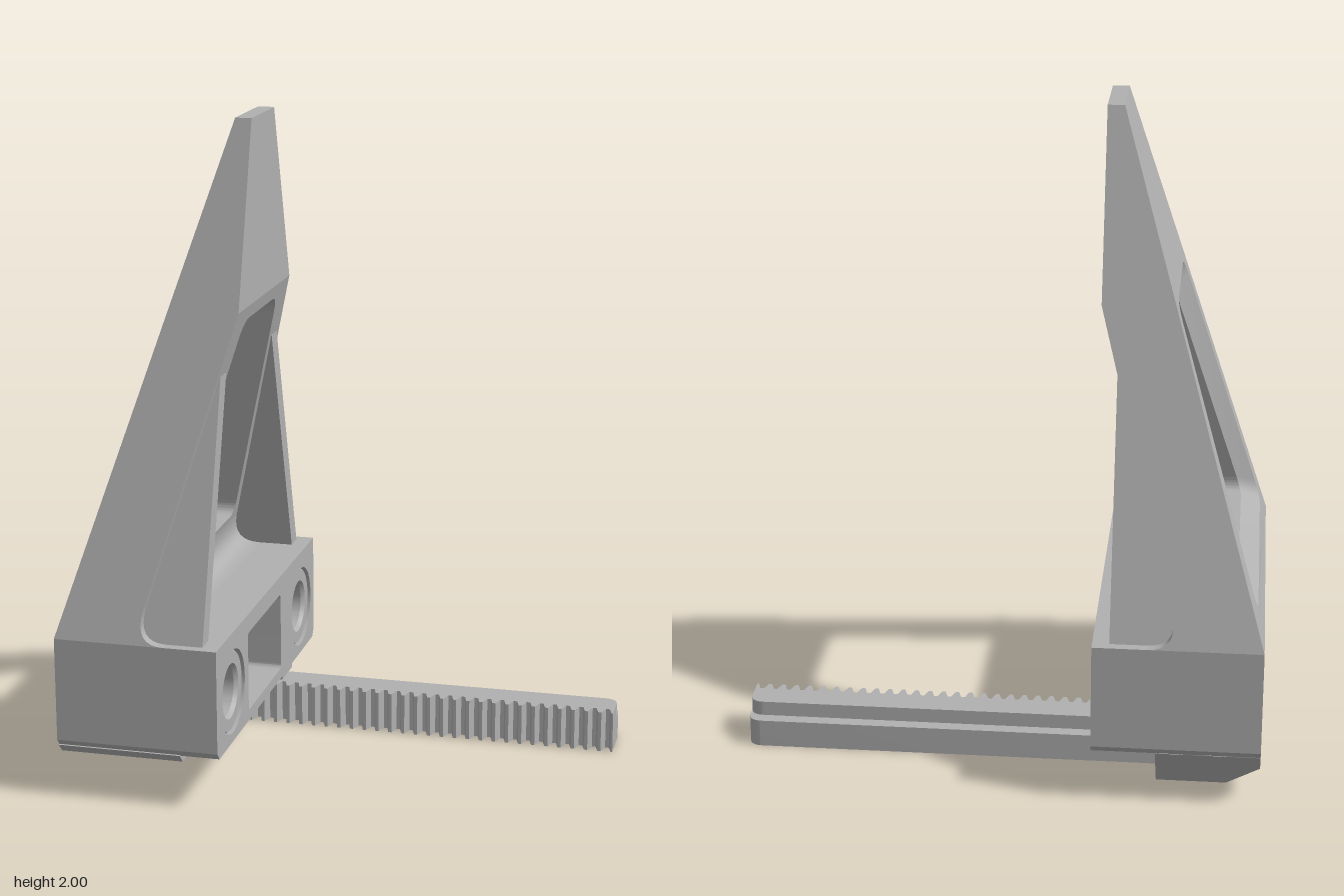
import * as THREE from 'three';
import { toCreasedNormals } from 'three/addons/utils/BufferGeometryUtils.js';

const V = (x, y) => new THREE.Vector2(x, y);
const halfWidth = y => 0.57 - Math.max(0, y - 0.5) * 0.2967;   // tower taper
const rearX = y => -0.79 + Math.max(0, y - 0.51) * 0.302;      // sloping rear face
const frontX = y => -0.52 + (y - 0.6) * 0.2706;                // sloping front face

function extrude(shape, depth) {
  return new THREE.ExtrudeGeometry(shape, { depth, bevelEnabled: false, curveSegments: 24 });
}

// Moves every vertex by a rule and renews the normals
function warp(geo, rule) {
  const p = geo.attributes.position, v = new THREE.Vector3();
  for (let i = 0; i < p.count; i++) {
    rule(v.fromBufferAttribute(p, i));
    p.setXYZ(i, v.x, v.y, v.z);
  }
  return toCreasedNormals(geo, 0.5);
}

// Polygon with rounded corners
function rounded(path, pts, r) {
  pts.forEach((p, i) => {
    const a = pts[(i + pts.length - 1) % pts.length], b = pts[(i + 1) % pts.length];
    const s = a.clone().sub(p).setLength(r).add(p), e = b.clone().sub(p).setLength(r).add(p);
    if (i === 0) path.moveTo(s.x, s.y); else path.lineTo(s.x, s.y);
    path.quadraticCurveTo(p.x, p.y, e.x, e.y);
  });
  path.closePath();
  return path;
}

// Side profile (x, y) spanning z0(y) to z1(y)
function slab(pts, z0, z1) {
  return warp(extrude(new THREE.Shape(pts), 1), v => { v.z = v.z < 0.5 ? z0(v.y) : z1(v.y); });
}

// Cross-section (-z, y) carried along x
function alongX(shape, x0, x1) {
  return toCreasedNormals(extrude(shape, x1 - x0).rotateY(Math.PI / 2).translate(x0, 0, 0), 0.5);
}

// Tapered frame around the tower window, between two sloping faces
function frame(y0, y1, xa, xb, flare) {
  const s = new THREE.Shape([V(-halfWidth(y0), y0), V(halfWidth(y0), y0), V(halfWidth(y1), y1), V(-halfWidth(y1), y1)]);
  s.holes.push(rounded(new THREE.Path(), [V(-0.4, 0.62), V(0.4, 0.62), V(0.185, 1.405), V(-0.185, 1.405)], 0.06));
  return warp(extrude(s, 1).rotateY(Math.PI / 2), v => {
    const rear = v.x < 0.5;
    const inHole = Math.abs(v.z) < halfWidth(v.y) - 0.05;
    if (rear && inHole && flare) {
      v.y = 1.01 + (v.y - 1.01) * 1.1;
      v.z += Math.sign(v.z) * 0.05;
    }
    v.x = rear ? xa(v.y) : xb(v.y);
  });
}

// Toothed bar outline (x, z)
function rackShape(back, r) {
  const x0 = -0.48, x1 = 0.785, n = 30, p = (x1 - x0) / n, s = new THREE.Shape();
  s.moveTo(x0, back);
  s.lineTo(x1 - r, back);
  s.quadraticCurveTo(x1, back, x1, back + r);
  for (let i = 0; i < n; i++) {
    const x = x1 - i * p;
    s.lineTo(x, -0.155);
    s.lineTo(x - p * 0.12, -0.155);
    s.lineTo(x - p * 0.36, -0.188);
    s.lineTo(x - p * 0.64, -0.188);
    s.lineTo(x - p * 0.88, -0.155);
  }
  s.lineTo(x0, -0.155);
  s.closePath();
  return s;
}

export function createModel() {
  const group = new THREE.Group();
  const grey = new THREE.MeshStandardMaterial({ color: 0xb0b0b0, side: THREE.DoubleSide });
  grey.name = 'grey';
  const add = (name, geo) => {
    const m = new THREE.Mesh(geo, grey);
    m.name = name;
    group.add(m);
    return m;
  };

  // Base block with square opening and two bores
  const base = new THREE.Shape([V(-0.57, 0.18), V(-0.55, 0.157), V(0.55, 0.157), V(0.57, 0.18), V(0.57, 0.5), V(-0.57, 0.5)]);
  base.holes.push(rounded(new THREE.Path(), [V(-0.23, 0.19), V(0.15, 0.19), V(0.15, 0.44), V(-0.23, 0.44)], 0.015));
  for (const s of [-1, 1]) base.holes.push(new THREE.Path().absarc(s * 0.4, 0.315, 0.13, 0, Math.PI * 2));
  add('baseBlock', alongX(base, -0.79, -0.29));

  // Bushings in the bores
  for (const s of [-1, 1]) {
    const prof = [V(0.075, -0.23), V(0.085, -0.242), V(0.122, -0.242), V(0.13, -0.23), V(0.13, 0.23),
      V(0.122, 0.242), V(0.085, 0.242), V(0.075, 0.23), V(0.075, -0.23)];
    const geo = new THREE.LatheGeometry(prof, 48).rotateZ(-Math.PI / 2).translate(-0.54, 0.315, s * 0.4);
    add('bushing', toCreasedNormals(geo, 0.5));
  }

  // Tower: rear frame with flared rim, front frame, foot fillet and solid top
  const midX = y => rearX(y) + 0.05;
  const minus = y => -halfWidth(y);
  add('rearFrame', frame(0.5, 1.45, rearX, midX, true));
  add('frontFrame', frame(0.6, 1.45, midX, frontX, false));
  const fillet = new THREE.QuadraticBezierCurve(V(-0.45, 0.5), V(-0.545, 0.5), V(frontX(0.6), 0.6)).getPoints(8);
  add('towerFoot', slab([V(midX(0.5), 0.5), ...fillet, V(midX(0.6), 0.6)], minus, halfWidth));
  add('towerTop', slab([V(rearX(1.45), 1.45), V(-0.29, 1.45), V(-0.29, 2), V(rearX(2), 2)], minus, halfWidth));

  // Gusset ribs on the front of the tower
  const outer = y => halfWidth(y) - 0.03, inner = y => halfWidth(y) - 0.09;
  const rib = [V(-0.6, 0.5), V(-0.34, 0.5), V(-0.34, 1.262), V(-0.4, 1.262)];
  add('leftRib', slab(rib, inner, outer));
  add('rightRib', slab(rib, y => -outer(y), y => -inner(y)));

  // Pads under the base
  add('footPad', alongX(new THREE.Shape([V(-0.56, 0.16), V(-0.53, 0.13), V(-0.31, 0.13), V(-0.275, 0.16)]), -0.79, -0.41));
  add('rackGuide', alongX(new THREE.Shape([V(0.2, 0.16), V(0.2, 0.13), V(0.32, 0.13), V(0.32, 0.16)]), -0.48, -0.3));

  // Rack holder: chamfered walls from stacked outlines
  const ring = (y, x, zf, zb) => [[x, y, zf], [-0.48, y, zf], [-0.48, y, zb], [x, y, zb]];
  const rings = [ring(0, -0.69, -0.05, -0.42), ring(0.1, -0.79, 0.045, -0.51), ring(0.165, -0.79, 0.105, -0.568)];
  const pos = [];
  for (let k = 0; k < 2; k++) for (let i = 0; i < 4; i++) {
    const j = (i + 1) % 4, a = rings[k], b = rings[k + 1];
    pos.push(...a[i], ...a[j], ...b[j], ...a[i], ...b[j], ...b[i]);
  }
  const walls = new THREE.BufferGeometry();
  walls.setAttribute('position', new THREE.Float32BufferAttribute(pos, 3));
  walls.computeVertexNormals();
  add('rackHolder', walls);

  // Holder underside with a screw pocket
  const under = new THREE.Shape(rings[0].map(p => V(p[0], p[2])));
  under.holes.push(new THREE.Path().absarc(-0.595, -0.21, 0.06, 0, Math.PI * 2));
  add('holderUnderside', new THREE.ShapeGeometry(under, 24).rotateX(Math.PI / 2));
  add('screwPocket', new THREE.CylinderGeometry(0.06, 0.06, 0.1, 32, 1, true).translate(-0.595, 0.05, -0.21));
  add('screwPocketEnd', new THREE.CircleGeometry(0.06, 32).rotateX(Math.PI / 2).translate(-0.595, 0.1, -0.21));

  // Toothed rack with a lower ledge along its back
  const bar = (shape, y0, y1) => toCreasedNormals(extrude(shape, y1 - y0).rotateX(Math.PI / 2).translate(0, y1, 0), 0.5);
  add('rackLower', bar(rackShape(-0.32, 0.045), 0, 0.085));
  add('rackUpper', bar(rackShape(-0.28, 0.045), 0.085, 0.13));

  return group;
}
